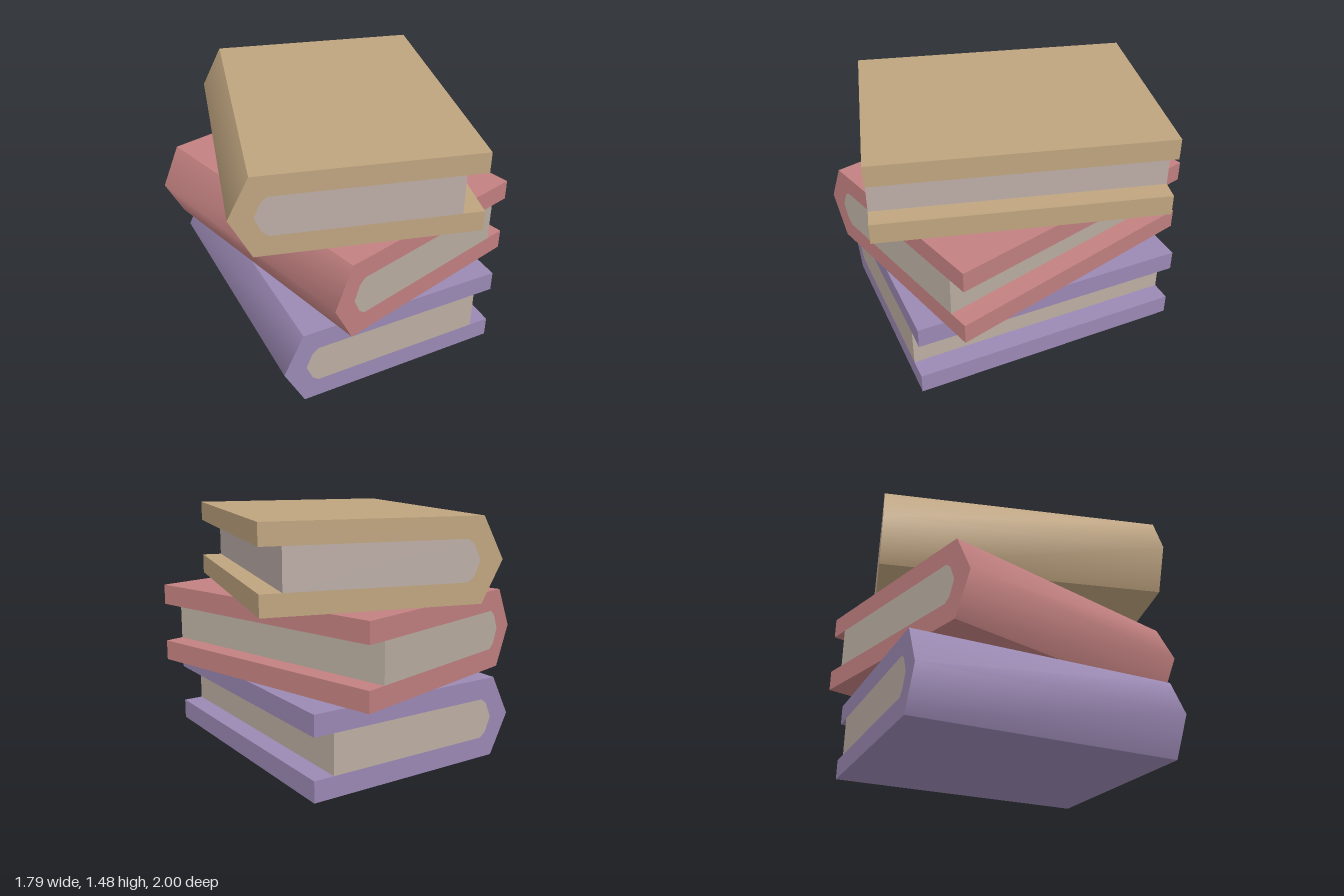
import * as THREE from 'three';
import { toCreasedNormals } from 'three/addons/utils/BufferGeometryUtils.js';

const H = 0.4917;   // thickness of one book
const DEPTH = 1.692; // length along the spine
const BOARD = 0.125; // cover board thickness

function material(name, color) {
  const m = new THREE.MeshStandardMaterial({ color });
  m.name = name;
  return m;
}

// Extrudes a cross-section along z, centred, keeping only shallow edges smooth.
function prism(points, mat, name) {
  const shape = new THREE.Shape(points.map(([x, y]) => new THREE.Vector2(x, y)));
  const geo = new THREE.ExtrudeGeometry(shape, { depth: DEPTH, bevelEnabled: false });
  geo.translate(0, 0, -DEPTH / 2);
  const mesh = new THREE.Mesh(toCreasedNormals(geo, THREE.MathUtils.degToRad(58)), mat);
  mesh.name = name;
  return mesh;
}

function makeBook(name, coverMat, pageMat) {
  const top = H - BOARD, mid = H / 2;
  // Rounded inner spine line shared by the cover and the page block, bottom to top
  const inner = [
    [-0.485, BOARD], [-0.522, BOARD + 0.03], [-0.56, mid], [-0.522, top - 0.03], [-0.485, top],
  ];
  const book = new THREE.Group();
  book.name = name;

  // Cover: two boards joined by a pointed spine
  const cover = [
    [-0.575, 0], [0.698, 0], [0.698, BOARD],
    ...inner,
    [0.698, top], [0.698, H], [-0.575, H], [-0.698, mid],
  ];
  book.add(prism(cover, coverMat, 'cover'));

  // Page block, flush with the cover ends and inset at the fore edge
  const pages = [[0.573, BOARD], [0.573, top], ...inner.slice().reverse()];
  book.add(prism(pages, pageMat, 'pages'));
  return book;
}

export function createModel() {
  const stack = new THREE.Group();
  stack.name = 'bookStack';
  const books = [
    ['bottomBook', material('purpleCover', 0x9a88b3), material('warmPages', 0xbcada2), 0],
    ['middleBook', material('redCover', 0xc28080), material('greyPages', 0xb9ada1), 15],
    ['topBook', material('tanCover', 0xbfa47f), material('pinkPages', 0xbbaca6), -15],
  ];
  books.forEach(([name, cover, pages, turn], i) => {
    const book = makeBook(name, cover, pages);
    book.position.y = i * H;
    book.rotation.y = THREE.MathUtils.degToRad(turn);
    stack.add(book);
  });
  return stack;
}
